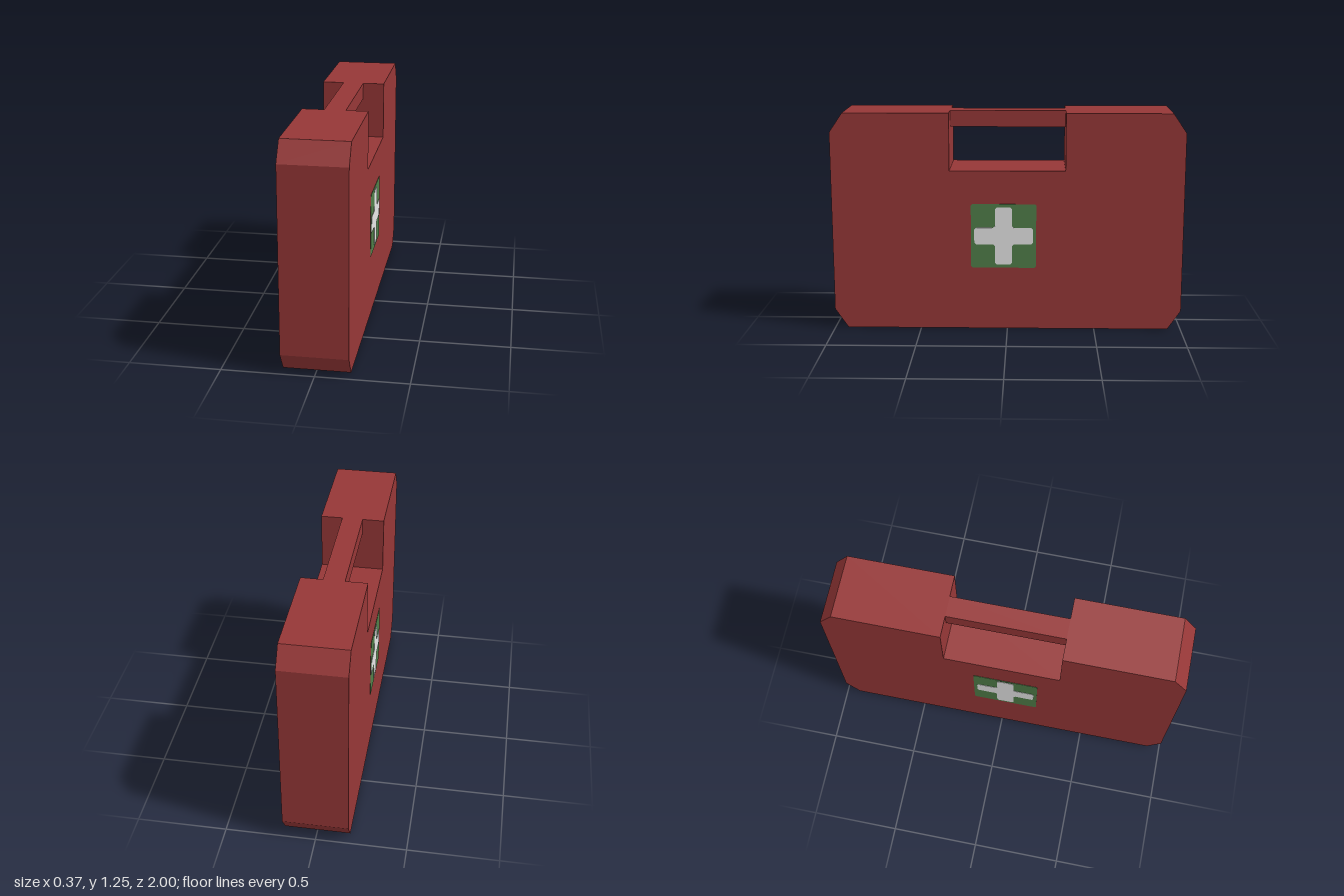
import * as THREE from 'three';

const W = 0.363, H = 1.253;            // case thickness and height
const EMBLEM = { y: 0.55, z: 0.022 };  // emblem centre on both broad sides

const caseRed = new THREE.MeshStandardMaterial({ color: 0x963737 });
caseRed.name = 'caseRed';
const emblemGreen = new THREE.MeshStandardMaterial({ color: 0x507f49 });
emblemGreen.name = 'emblemGreen';
const crossWhite = new THREE.MeshStandardMaterial({ color: 0xf3f3f3 });
crossWhite.name = 'crossWhite';

// Closed shape whose corners are cut by a small bevel c (0 = sharp)
function bevelledShape(points, c = 0) {
  const pts = points.map(([x, y]) => new THREE.Vector2(x, y));
  if (!c) return new THREE.Shape(pts);
  const out = [];
  pts.forEach((p, i) => {
    const prev = pts[(i + pts.length - 1) % pts.length];
    const next = pts[(i + 1) % pts.length];
    for (const q of [prev, next]) out.push(p.clone().add(q.clone().sub(p).setLength(c)));
  });
  return new THREE.Shape(out);
}

function extrude(shape, depth) {
  return new THREE.ExtrudeGeometry(shape, { depth, bevelEnabled: false });
}

export function createModel() {
  const model = new THREE.Group();
  model.name = 'firstAidCase';

  // Case body: chamfered outline with the hand notch cut in the top
  const half = [[0.925, 0], [1, 0.11], [1, 1.143], [0.925, H], [0.328, H], [0.328, 0.927]];
  const outline = [...half, ...half.map(([x, y]) => [-x, y]).reverse()];
  const bodyGeo = extrude(bevelledShape(outline), W);
  bodyGeo.translate(0, 0, -W / 2).rotateY(Math.PI / 2);
  const body = new THREE.Mesh(bodyGeo, caseRed);
  body.name = 'caseBody';
  model.add(body);

  // Handle bar bridging the notch
  const handle = new THREE.Mesh(new THREE.BoxGeometry(0.118, 0.093, 0.656), caseRed);
  handle.name = 'handle';
  handle.position.set(0, H - 0.0465, 0);
  model.add(handle);

  // Emblem: green plate and white cross on each broad side
  const s = 0.186, a = 0.167, b = 0.049;
  const square = bevelledShape([[-s, -s], [s, -s], [s, s], [-s, s]], 0.008);
  const cross = bevelledShape([
    [-b, -a], [b, -a], [b, -b], [a, -b], [a, b], [b, b],
    [b, a], [-b, a], [-b, b], [-a, b], [-a, -b], [-b, -b],
  ], 0.01);
  const plateGeo = extrude(square, 0.002);
  const crossGeo = extrude(cross, 0.004);
  for (const side of [1, -1]) {
    const emblem = new THREE.Group();
    emblem.name = side > 0 ? 'leftEmblem' : 'rightEmblem';
    const plate = new THREE.Mesh(plateGeo, emblemGreen);
    plate.name = 'emblemPlate';
    const mark = new THREE.Mesh(crossGeo, crossWhite);
    mark.name = 'emblemCross';
    emblem.add(plate, mark);
    emblem.rotation.y = side * Math.PI / 2;
    emblem.position.set(side * W / 2, EMBLEM.y, EMBLEM.z);
    model.add(emblem);
  }

  return model;
}
